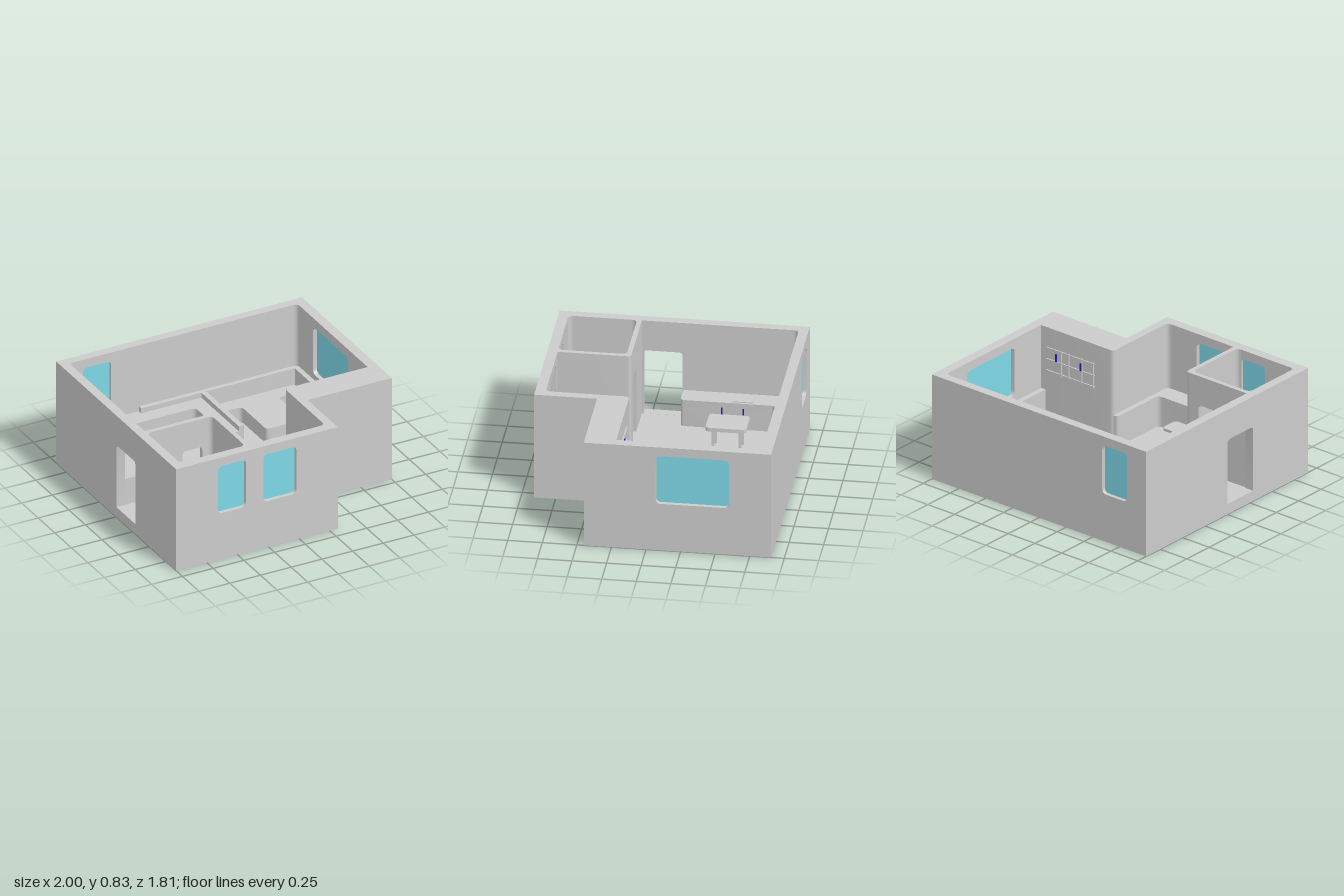
import * as THREE from 'three';
import { toCreasedNormals } from 'three/addons/utils/BufferGeometryUtils.js';

const grey = new THREE.MeshStandardMaterial({ color: 0xcccccc });
const glass = new THREE.MeshStandardMaterial({ color: 0x7ed8e7 });
const blue = new THREE.MeshStandardMaterial({ color: 0x1a1ad0 });
const TOP = 0.83, FLOOR = 0.08;

// Closed outline from [x, y, cornerRadius] points
function outline(points, path = new THREE.Shape()) {
  const v = points.map(([x, y]) => new THREE.Vector2(x, y));
  const n = v.length;
  v.forEach((p, i) => {
    const r = points[i][2] || 0;
    const toward = (q) => p.clone().add(q.clone().sub(p).setLength(r));
    const a = toward(v[(i + n - 1) % n]), b = toward(v[(i + 1) % n]);
    if (i === 0) path.moveTo(a.x, a.y); else path.lineTo(a.x, a.y);
    if (r) path.quadraticCurveTo(p.x, p.y, b.x, b.y);
  });
  path.closePath();
  return path;
}
const rect = (a, b, c, d, r = 0) => [[a, b, r], [c, b, r], [c, d, r], [a, d, r]];

function extrude(shape, depth) {
  const g = new THREE.ExtrudeGeometry(shape, { depth, bevelEnabled: false, curveSegments: 6 });
  return toCreasedNormals(g, 0.6);
}

export function createModel() {
  const house = new THREE.Group();
  house.name = 'house';

  const add = (name, geometry, material = grey) => {
    const m = new THREE.Mesh(geometry, material);
    m.name = name;
    house.add(m);
    return m;
  };
  // Floor-plan outline in [x, z, radius], raised from y0 to y1
  const slab = (name, plan, y0, y1) => add(name,
    extrude(outline(plan.map(([x, z, r]) => [x, -z, r])), y1 - y0).rotateX(-Math.PI / 2).translate(0, y0, 0));
  const box = (name, x0, x1, y0, y1, z0, z1, mat) => add(name,
    new THREE.BoxGeometry(x1 - x0, y1 - y0, z1 - z0)
      .translate((x0 + x1) / 2, (y0 + y1) / 2, (z0 + z1) / 2), mat);

  // Upright wall with openings; alongZ walls run in z and are thick in x
  function wall(name, from, to, start, thick, openings, alongZ = false) {
    const u = (a, b) => (alongZ ? [-b, -a] : [a, b]);
    const place = (g, at) => (alongZ ? g.rotateY(Math.PI / 2).translate(at, 0, 0) : g.translate(0, 0, at));
    const [u0, u1] = u(from, to);
    const shape = outline(rect(u0, FLOOR, u1, TOP));
    for (const o of openings) {
      const [a, b] = u(o.from, o.to);
      const pts = o.door
        ? [[a, FLOOR + 0.001], [b, FLOOR + 0.001], [b, o.y1, 0.03], [a, o.y1, 0.03]]
        : rect(a, o.y0, b, o.y1, 0.04);
      shape.holes.push(outline(pts, new THREE.Path()));
      if (!o.door) add(name + 'Window', place(extrude(outline(pts), 0.012), start + thick / 2 - 0.006), glass);
    }
    add(name, place(extrude(shape, thick), start));
  }
  const win = (from, to) => ({ from, to, y0: 0.375, y1: 0.76 });

  // Floor and outer walls
  slab('floor', [[-1, -0.905], [1, -0.905], [1, 0.45], [0.315, 0.45], [0.315, 0.905], [-1, 0.905]], 0, FLOOR);
  wall('frontWall', -0.93, 0.25, 0.83, 0.075, [win(-0.66, -0.43), win(-0.29, -0.02)]);
  wall('backWall', -0.93, 0.925, -0.905, 0.07, [win(-0.82, -0.59)]);
  wall('rightSideWall', -0.905, 0.225, 0.925, 0.075, [win(-0.6, -0.07)], true);
  wall('doorWall', -0.905, 0.905, -1, 0.07, [{ from: 0.005, to: 0.29, y1: 0.59, door: true }], true);
  slab('notchWall', [[0.25, 0.225, 0.035], [1, 0.225], [1, 0.45], [0.25, 0.45]], FLOOR, TOP);
  box('notchSideWall', 0.25, 0.315, FLOOR, TOP, 0.45, 0.905);

  // Bathroom partitions, with a doorway to the main room
  wall('bathroomWall', -0.93, -0.4, 0.3, 0.035, [{ from: -0.64, to: -0.48, y1: 0.6, door: true }]);
  slab('bathroomSideWall', [[-0.4, 0.3], [-0.365, 0.3, 0.03], [-0.365, 0.83], [-0.4, 0.83]], FLOOR, TOP);

  // Concave fillets in the inner corners: corner position and inward direction
  const corners = [[-0.93, -0.835, 1, 1], [0.925, -0.835, -1, 1], [0.25, 0.83, -1, -1], [-0.93, 0.83, 1, -1],
    [-0.4, 0.83, -1, -1], [-0.4, 0.335, -1, 1], [-0.93, 0.335, 1, 1]];
  for (const [x, z, sx, sz] of corners) {
    const r = 0.04, s = new THREE.Shape();
    s.moveTo(x, -z);
    s.lineTo(x + sx * r, -z);
    s.quadraticCurveTo(x, -z, x, -z - sz * r);
    add('cornerFillet', extrude(s, TOP - FLOOR).rotateX(-Math.PI / 2).translate(0, FLOOR, 0));
  }

  // Kitchen counter, sink and island
  slab('kitchenCounter', [[-0.93, 0], [-0.775, 0, 0.03], [-0.775, -0.685, 0.03], [0.015, -0.685, 0.04],
    [0.015, -0.235, 0.03], [0.125, -0.235], [0.125, -0.835], [-0.93, -0.835, 0.035]], FLOOR, 0.29);
  box('kitchenSink', -0.895, -0.79, 0.29, 0.297, -0.52, -0.375);
  slab('islandTop', rect(-0.595, -0.53, -0.375, -0.235, 0.03), 0.26, 0.29);
  for (const x of [-0.56, -0.43]) for (const z of [-0.49, -0.295])
    box('islandLeg', x, x + 0.02, FLOOR, 0.26, z, z + 0.02);
  for (const z of [-0.46, -0.305]) box('cabinetHandle', -0.775, -0.77, 0.17, 0.25, z, z + 0.01, blue);
  box('drawerRail', -0.68, -0.46, 0.24, 0.25, -0.685, -0.681);

  // Low ledges against the walls and the divider by the bed
  box('backLedge', -0.365, 0.885, FLOOR, 0.33, -0.835, -0.8);
  box('sideLedge', 0.885, 0.925, FLOOR, 0.33, -0.835, 0.225);
  box('divider', 0.125, 0.165, FLOOR, 0.33, -0.8, -0.235);
  slab('bedAndSideTables', [[0.165, -0.8], [0.885, -0.8, 0.03], [0.885, -0.685], [0.69, -0.685, 0.04],
    [0.69, -0.31, 0.035], [0.39, -0.31, 0.035], [0.39, -0.685, 0.04], [0.165, -0.685]], FLOOR, 0.2);

  // Lounge shelf and coffee table
  slab('loungeShelf', [[0.25, 0.225], [0.21, 0.225, 0.03], [0.21, 0.68, 0.04], [-0.32, 0.68],
    [-0.32, 0.83], [0.25, 0.83]], FLOOR, 0.32);
  slab('coffeeTableTop', rect(-0.2, 0.5, 0.025, 0.65, 0.03), 0.17, 0.19);
  box('coffeeTableBase', -0.14, -0.035, FLOOR, 0.17, 0.54, 0.61);

  // Rack on the wall opposite the bed, with blue accents
  for (const y of [0.49, 0.58, 0.67]) box('rackShelf', 0.42, 0.87, y, y + 0.006, 0.215, 0.225);
  for (const x of [0.43, 0.54, 0.66, 0.73]) box('rackPost', x, x + 0.008, 0.48, 0.68, 0.215, 0.225);
  for (const [x, y] of [[0.77, 0.585], [0.54, 0.585]]) box('rackAccent', x, x + 0.012, y, y + 0.06, 0.211, 0.22, blue);

  // Bathroom: toilet, screen, cabinet and basin
  box('toiletTank', -0.845, -0.76, FLOOR, 0.27, 0.335, 0.365);
  slab('toiletBowl', [[-0.84, 0.365], [-0.765, 0.365], [-0.765, 0.47, 0.035], [-0.84, 0.47, 0.035]], FLOOR, 0.18);
  box('showerScreen', -0.712, -0.706, FLOOR, 0.45, 0.335, 0.49);
  slab('bathroomCabinet', [[-0.53, 0.48, 0.03], [-0.4, 0.48], [-0.4, 0.71], [-0.53, 0.71, 0.03]], FLOOR, 0.2);
  box('cabinetBack', -0.44, -0.4, 0.2, 0.3, 0.485, 0.705);
  box('basin', -0.77, -0.65, 0.22, 0.26, 0.71, 0.805);
  add('basinPedestal', new THREE.CylinderGeometry(0.02, 0.025, 0.14, 16).translate(-0.71, 0.15, 0.765));
  const spout = new THREE.CatmullRomCurve3([[0.8, 0.26], [0.8, 0.3], [0.77, 0.31], [0.75, 0.29]]
    .map(([z, y]) => new THREE.Vector3(-0.71, y, z)));
  add('faucet', new THREE.TubeGeometry(spout, 12, 0.006, 8));

  return house;
}
